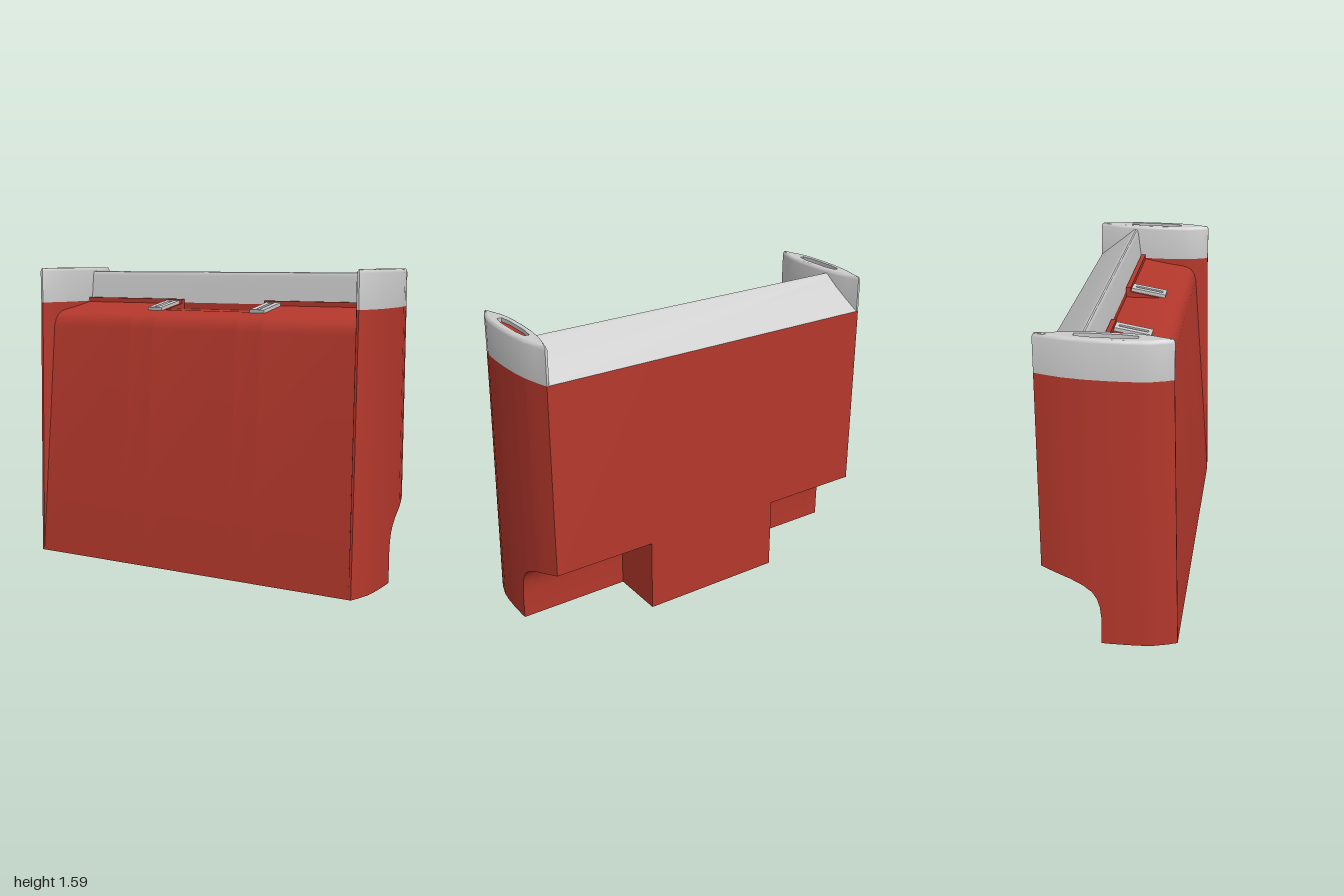
import * as THREE from 'three';
import { toCreasedNormals } from 'three/addons/utils/BufferGeometryUtils.js';

const red = new THREE.MeshStandardMaterial({ color: 0xb5382c });
const grey = new THREE.MeshStandardMaterial({ color: 0xcccccc });

const END_X = 0.9425; // centre line of each end post
const JOIN_Y = 1.4;   // where the red parts meet the grey parts

// Wheel well outline as [z, y], and end post half-widths as [z, halfWidth]
const well = [[-0.035, 0], [-0.035, 0.15], [-0.042, 0.21], [-0.055, 0.255], [-0.08, 0.293],
  [-0.12, 0.323], [-0.19, 0.354], [-0.335, 0.39]];
const lens = [[-0.335, 0.006], [-0.27, 0.025], [-0.2, 0.042], [-0.1, 0.054], [0, 0.0575],
  [0.08, 0.0565], [0.15, 0.052], [0.2, 0.044], [0.26, 0.024], [0.3, 0.006]];

function named(name, geometry, material, crease = 0.5) {
  const mesh = new THREE.Mesh(toCreasedNormals(geometry, crease), material);
  mesh.name = name;
  return mesh;
}

// Skin between rings of [x, y, z] points
function loft(rings, caps = true) {
  const n = rings[0].length, index = [];
  rings.slice(1).forEach((_, r) => {
    for (let i = 0; i < n; i++) {
      const a = r * n + i, b = r * n + (i + 1) % n;
      index.push(a, b, b + n, a, b + n, a + n);
    }
  });
  if (caps) {
    const last = (rings.length - 1) * n;
    for (let i = 1; i < n - 1; i++) index.push(0, i + 1, i, last, last + i, last + i + 1);
  }
  const g = new THREE.BufferGeometry();
  g.setAttribute('position', new THREE.Float32BufferAttribute(rings.flat(2), 3));
  g.setIndex(index);
  return g;
}

// Extrude a [z, y] profile from x0 to x1
function slab(profile, x0, x1) {
  const shape = new THREE.Shape(profile.map(([z, y]) => new THREE.Vector2(-z, y)));
  const g = new THREE.ExtrudeGeometry(shape, { depth: x1 - x0, bevelEnabled: false });
  return g.rotateY(Math.PI / 2).translate(x0, 0, 0);
}

// Flat horizontal face from [x, z] outlines
function flat(outline, y, hole) {
  const pts = (o) => o.map(([x, z]) => new THREE.Vector2(x, -z));
  const shape = new THREE.Shape(pts(outline));
  if (hole) shape.holes.push(new THREE.Path(pts(hole)));
  return new THREE.ShapeGeometry(shape).rotateX(-Math.PI / 2).translate(0, y, 0);
}

function halfWidth(z) {
  const i = Math.max(1, lens.findIndex((p) => p[0] >= z));
  const [a, b] = [lens[i - 1], lens[i]];
  return THREE.MathUtils.mapLinear(z, a[0], b[0], a[1], b[1]);
}

function wellHeight(z) {
  const i = well.findIndex((p) => p[0] < z || p[0] === -0.335);
  return THREE.MathUtils.mapLinear(z, well[i - 1][0], well[i][0], well[i - 1][1], well[i][1]);
}

// Body cross-section, with optional lid notch and wheel well
function bodyProfile(notch, hasWell) {
  const top = notch ? [[-0.09, JOIN_Y], [-0.09, 1.365]]
    : [[-0.09, JOIN_Y], [-0.09, 1.42], [-0.065, 1.42], [-0.065, 1.395]];
  return [...(hasWell ? well : [[-0.335, 0]]), [-0.335, JOIN_Y], ...top,
    [0.1, 1.367], [0.16, 1.358], [0.185, 1.35], [0.207, 1.335], [0.224, 1.31], [0.235, 1.27], [0.335, 0]];
}

// Red end post, cut away underneath by the wheel well
function postGeometry() {
  const stations = [
    ...lens.filter(([z]) => z < -0.035).map(([z]) => [z, wellHeight(z)]),
    ...well.slice(1, -1),
  ].sort((a, b) => a[0] - b[0] || b[1] - a[1]);
  stations.push([-0.035, 0], ...lens.filter(([z]) => z > -0.035).map(([z]) => [z, 0]));
  return loft(stations.map(([z, y]) => {
    const w = halfWidth(z), zb = z > 0 ? z * 0.335 / 0.3 : z;
    return [[w, y, zb], [w, JOIN_Y, z], [-w, JOIN_Y, z], [-w, y, zb]];
  }));
}

// Plan outline of the post, shrunk by an inset
function plan(inset) {
  const side = lens.map(([z, w]) => [Math.max(w - inset, 0.003), z * (1 - inset / 0.3)]);
  return [...[...side].reverse(), ...side.map(([x, z]) => [-x, z])];
}

// Grey cap with rounded rim and a recessed slot
function postCap() {
  const cap = new THREE.Group();
  const at = (outline, y) => outline.map(([x, z]) => [x, y, z]);
  const rim = [[0, JOIN_Y], [0, 1.572], [0.002, 1.58], [0.006, 1.587], [0.012, 1.59]];
  const slot = [[0.012, 0.14], [0.022, 0.07], [0.022, -0.08], [0.012, -0.15],
    [-0.012, -0.15], [-0.022, -0.08], [-0.022, 0.07], [-0.012, 0.14]];
  cap.add(
    named('capWall', loft(rim.map(([inset, y]) => at(plan(inset), y)), false), grey, 0.7),
    named('capTop', flat(plan(0.012), 1.59, slot), grey),
    named('slotWall', loft([at(slot, 1.59), at(slot, 1.57)], false), grey),
    named('slotFloor', flat(slot, 1.57), red),
  );
  return cap;
}

// Flat latch plate with a slot and a small slider inside it
function latch() {
  const box = (w, h) => [[-w, -h], [w, -h], [w, h], [-w, h]].map((p) => new THREE.Vector2(...p));
  const shape = new THREE.Shape(box(0.0425, 0.094));
  shape.holes.push(new THREE.Path(box(0.011, 0.075)));
  const plate = new THREE.ExtrudeGeometry(shape, { depth: 0.022, bevelEnabled: false }).rotateX(-Math.PI / 2);
  const g = new THREE.Group();
  g.add(named('latchPlate', plate, grey),
    named('latchSlider', new THREE.BoxGeometry(0.014, 0.014, 0.14).translate(0, 0.009, 0), grey));
  return g;
}

export function createModel() {
  const model = new THREE.Group();
  model.name = 'coolerBox';

  // Body in slices along x: wells outside, notch in the middle
  const body = new THREE.Group();
  body.name = 'body';
  body.add(named('bodyCentre', slab(bodyProfile(true, false), -0.255, 0.255), red));
  for (const s of [-1, 1]) {
    const slice = (name, a, b, hasWell) => body.add(
      named(name, slab(bodyProfile(false, hasWell), Math.min(s * a, s * b), Math.max(s * a, s * b)), red));
    slice('bodyInner', 0.255, 0.395, false);
    slice('bodyOverWheelWell', 0.395, END_X, true);
  }
  model.add(body);

  // Sloped grey ridge along the back
  const ridge = [[-0.335, JOIN_Y], [-0.14, 1.563], [-0.132, 1.568], [-0.124, 1.57], [-0.117, 1.567],
    [-0.112, 1.559], [-0.109, 1.545], [-0.09, JOIN_Y]];
  model.add(named('backRidge', slab(ridge, -END_X, END_X), grey, 0.6));

  for (const s of [-1, 1]) {
    const post = named('endPost', postGeometry(), red);
    post.position.x = s * END_X;
    const cap = postCap();
    cap.name = 'endCap';
    cap.position.x = s * END_X;
    const clip = latch();
    clip.name = 'lidLatch';
    clip.position.set(s * 0.3125, 1.375, 0.0275);
    clip.rotation.x = 0.168;
    model.add(post, cap, clip);
  }
  return model;
}
